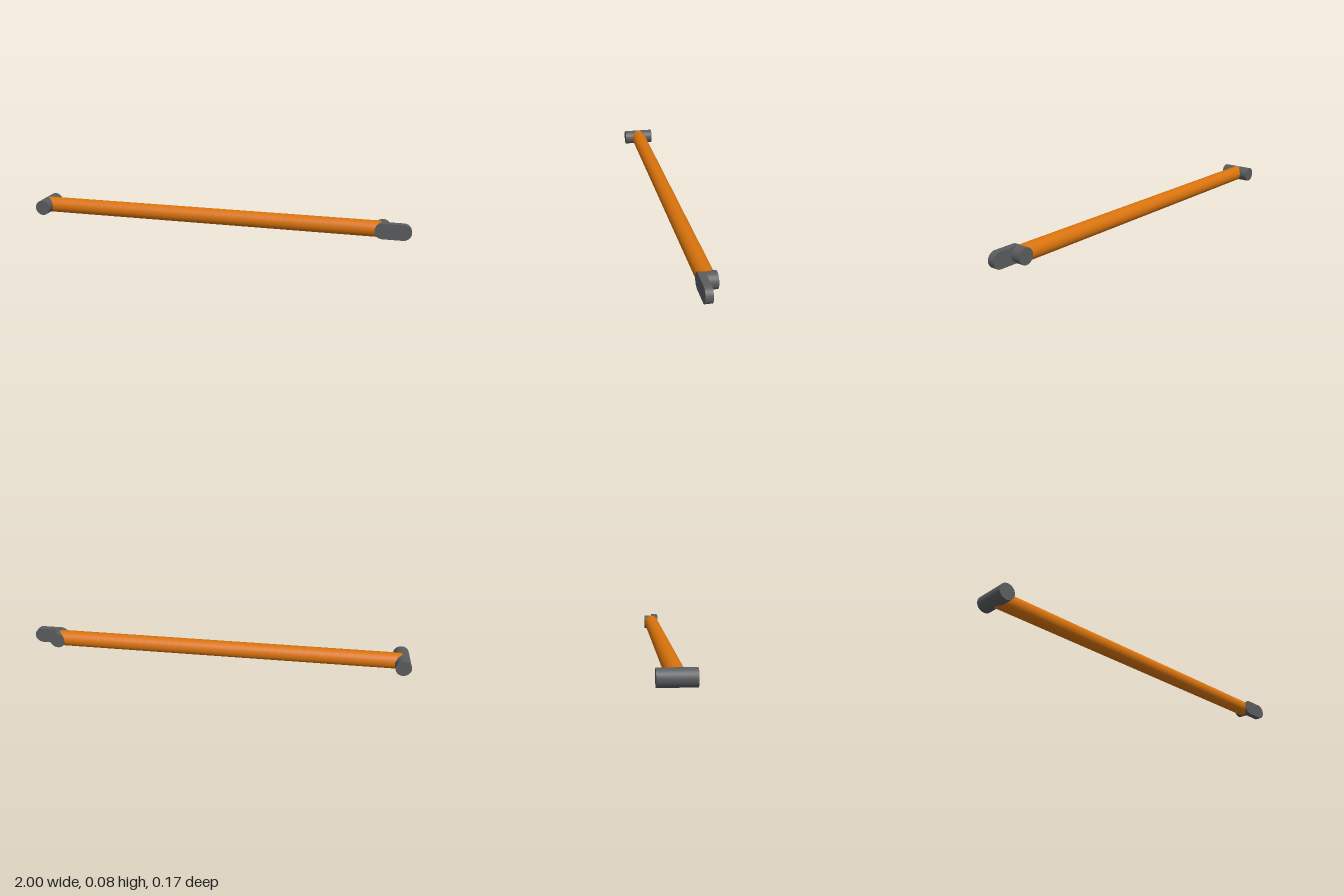
import * as THREE from 'three';

const ORANGE = 0xd9730d, GREY = 0x5a5c5e;
const Y = 0.0415; // height of the shared centre line
const R = 0.04;   // radius of the grey end fittings

export function createModel() {
  const group = new THREE.Group();

  function add(name, geometry, color, x, z = 0) {
    const mesh = new THREE.Mesh(geometry, new THREE.MeshStandardMaterial({ color }));
    mesh.name = name;
    mesh.position.set(x, Y, z);
    group.add(mesh);
  }

  // Long round rod, slightly thicker than the end fittings
  const x0 = -0.955, x1 = 0.852;
  add('rod', new THREE.CylinderGeometry(0.0415, 0.0415, x1 - x0, 48).rotateZ(Math.PI / 2),
    ORANGE, (x0 + x1) / 2);

  // Wide cross pin at one end, short pivot pin at the other
  const pin = (length) => new THREE.CylinderGeometry(R, R, length, 48).rotateX(Math.PI / 2);
  add('crossPin', pin(0.167), GREY, -0.96);
  add('pivotPin', pin(0.083), GREY, 0.86);

  // Flat link plate with rounded ends, flush with the front of the pivot pin
  const plate = new THREE.Shape();
  plate.absarc(0.1, 0, R, -Math.PI / 2, Math.PI / 2, false);
  plate.absarc(0, 0, R, Math.PI / 2, Math.PI * 1.5, false);
  plate.closePath();
  add('linkPlate', new THREE.ExtrudeGeometry(plate, { depth: 0.034, bevelEnabled: false, curveSegments: 32 }),
    GREY, 0.86, 0.008);

  return group;
}
